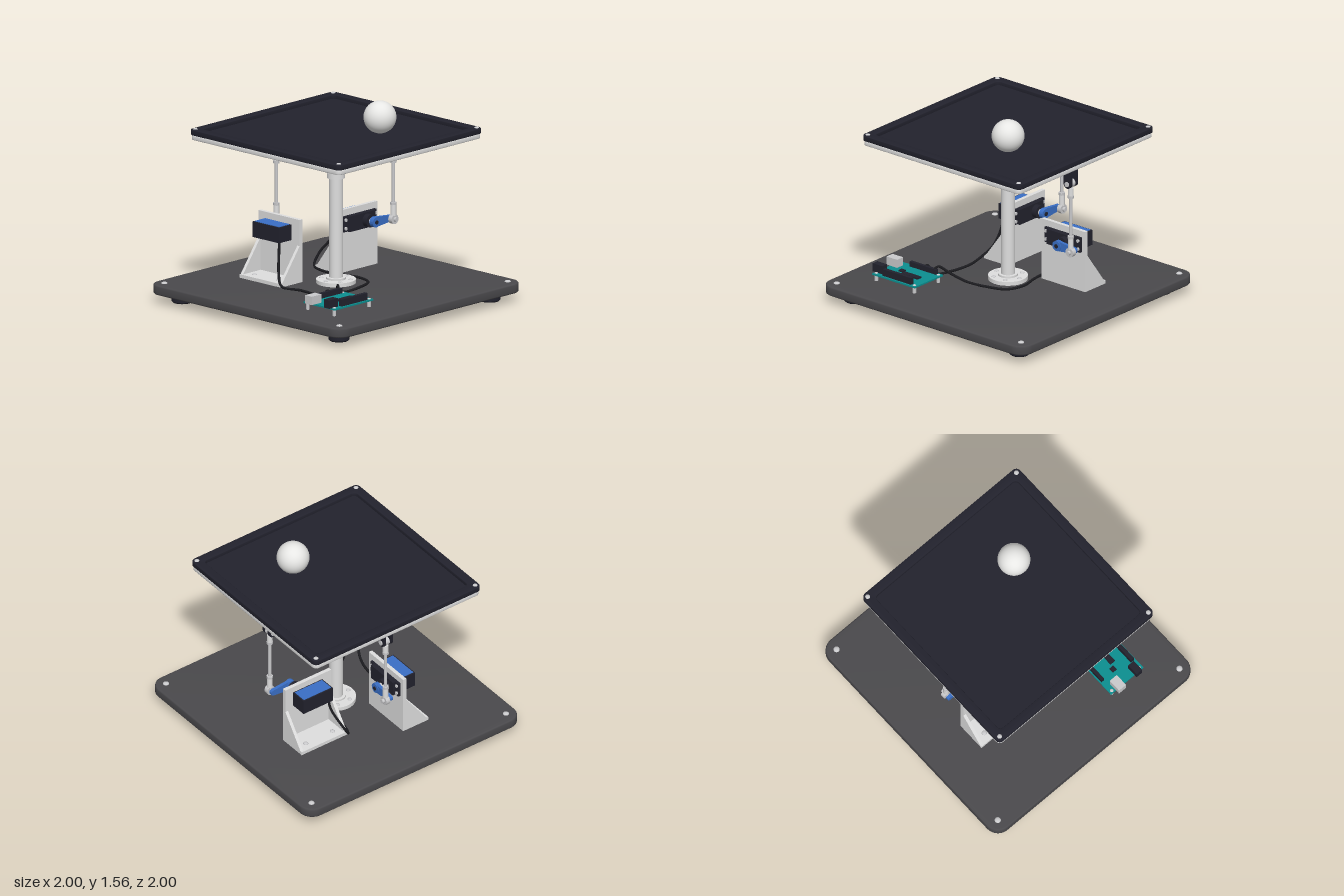
import * as THREE from 'three';
import { toCreasedNormals } from 'three/addons/utils/BufferGeometryUtils.js';

const mat = (name, color) => Object.assign(new THREE.MeshStandardMaterial({ color }), { name });

export function createModel() {
  const M = {
    base: mat('charcoal base', 0x4a494c),
    dark: mat('dark plastic', 0x22222d),
    white: mat('white plastic', 0xdedede),
    metal: mat('light metal', 0xcacacc),
    blue: mat('blue', 0x3a6fc6),
    teal: mat('teal board', 0x0c8f90),
    cable: mat('black cable', 0x1c1c20),
    ball: mat('ball white', 0xe8e8e6),
  };
  const root = new THREE.Group();
  root.name = 'ballBalancingTable';

  // ---- helpers ----
  const add = (parent, name, geo, material, x = 0, y = 0, z = 0) => {
    const m = new THREE.Mesh(geo, material);
    m.name = name;
    m.position.set(x, y, z);
    parent.add(m);
    return m;
  };
  const group = (parent, name) => {
    const g = new THREE.Group();
    g.name = name;
    parent.add(g);
    return g;
  };
  // box given by its lower and upper limits
  const box = (p, name, m, x0, x1, y0, y1, z0, z1) =>
    add(p, name, new THREE.BoxGeometry(x1 - x0, y1 - y0, z1 - z0), m, (x0 + x1) / 2, (y0 + y1) / 2, (z0 + z1) / 2);
  const cyl = (p, name, m, r, len, x, y, z, axis = 'y', seg = 28) => {
    const g = new THREE.CylinderGeometry(r, r, len, seg);
    if (axis === 'z') g.rotateX(Math.PI / 2);
    if (axis === 'x') g.rotateZ(Math.PI / 2);
    return add(p, name, g, m, x, y, z);
  };
  const roundRect = (C, h, r) => {
    const s = new C();
    s.moveTo(-h + r, -h);
    s.absarc(h - r, -h + r, r, -Math.PI / 2, 0);
    s.absarc(h - r, h - r, r, 0, Math.PI / 2);
    s.absarc(-h + r, h - r, r, Math.PI / 2, Math.PI);
    s.absarc(-h + r, -h + r, r, Math.PI, Math.PI * 1.5);
    s.closePath();
    return s;
  };
  const extrude = (shape, depth, bevel = 0) => toCreasedNormals(new THREE.ExtrudeGeometry(shape, {
    depth: depth - 2 * bevel, curveSegments: 10, bevelEnabled: bevel > 0,
    bevelSize: bevel, bevelThickness: bevel, bevelOffset: -bevel, bevelSegments: 3,
  }).translate(0, 0, bevel), 0.6);
  const slab = (p, name, m, shape, y0, y1, bevel) =>
    add(p, name, extrude(shape, y1 - y0, bevel).rotateX(-Math.PI / 2), m, 0, y0, 0);
  // bar with round ends, from radius r0 at the origin to radius r1 at distance len along +x
  const capsule = (len, r0, r1) => {
    const s = new THREE.Shape();
    s.absarc(0, 0, r0, Math.PI / 2, Math.PI * 1.5);
    s.absarc(len, 0, r1, -Math.PI / 2, Math.PI / 2);
    s.closePath();
    return s;
  };
  const screw = (p, r, x, y, z) =>
    add(p, 'screwHead', new THREE.SphereGeometry(r, 16, 6, 0, Math.PI * 2, 0, Math.PI / 2).scale(1, 0.5, 1), M.metal, x, y, z);
  const corners = (d, f) => [-1, 1].forEach(a => [-1, 1].forEach(b => f(a * d, b * d)));

  // ---- base ----
  const base = group(root, 'base');
  slab(base, 'basePlate', M.base, roundRect(THREE.Shape, 1, 0.11), 0.07, 0.145, 0.012);
  const footProfile = [[0, 0], [0.07, 0], [0.08, 0.01], [0.08, 0.07], [0, 0.07]].map(p => new THREE.Vector2(...p));
  corners(0.815, (x, z) => add(base, 'foot', toCreasedNormals(new THREE.LatheGeometry(footProfile, 28), 0.5), M.dark, x, 0, z));
  corners(0.91, (x, z) => screw(base, 0.024, x, 0.145, z));

  // ---- centre post and universal joint ----
  const post = group(root, 'post');
  cyl(post, 'flange', M.white, 0.15, 0.03, 0, 0.16, 0, 'y', 40);
  cyl(post, 'flangeBoss', M.white, 0.075, 0.02, 0, 0.18, 0);
  for (let i = 0; i < 6; i++) screw(post, 0.017, 0.113 * Math.cos(i * Math.PI / 3), 0.175, 0.113 * Math.sin(i * Math.PI / 3));
  cyl(post, 'tube', M.white, 0.052, 0.82, 0, 0.56, 0, 'y', 32);
  cyl(post, 'collar', M.white, 0.068, 0.075, 0, 0.995, 0, 'y', 32);
  cyl(post, 'collarScrew', M.metal, 0.012, 0.02, 0.072, 0.995, 0, 'x', 12);
  const joint = group(root, 'universalJoint');
  box(joint, 'lowerYokePlate', M.white, -0.098, 0.098, 1.033, 1.068, -0.05, 0.05);
  const tine = extrude(capsule(0.09, 0.045, 0.045), 0.025).rotateZ(Math.PI / 2).translate(0, 0, -0.0125);
  for (const s of [-1, 1]) {
    box(joint, 'lowerYokeFoot', M.white, s * 0.08 - 0.0125, s * 0.08 + 0.0125, 1.06, 1.12, -0.045, 0.045);
    add(joint, 'lowerYokeTine', tine.clone().rotateY(Math.PI / 2), M.white, s * 0.08, 1.052 + 0.0, 0);
    box(joint, 'upperYokeTop', M.white, -0.045, 0.045, 1.15, 1.235, s * 0.07 - 0.0125, s * 0.07 + 0.0125);
    add(joint, 'upperYokeTine', tine, M.white, 0, 1.142, s * 0.07);
    cyl(joint, 'crossPinX', M.metal, 0.024, 0.02, s * 0.098, 1.142, 0, 'x', 16);
    cyl(joint, 'crossPinZ', M.dark, 0.026, 0.016, 0, 1.142, s * 0.088, 'z', 16);
    cyl(joint, 'crossPinCap', M.metal, 0.015, 0.02, 0, 1.142, s * 0.09, 'z', 12);
  }
  box(joint, 'crossBlock', M.metal, -0.036, 0.036, 1.106, 1.178, -0.036, 0.036);
  cyl(joint, 'crossAxleX', M.metal, 0.016, 0.18, 0, 1.142, 0, 'x', 14);
  cyl(joint, 'crossAxleZ', M.metal, 0.016, 0.16, 0, 1.142, 0, 'z', 14);
  box(joint, 'upperYokePlate', M.white, -0.06, 0.06, 1.222, 1.245, -0.083, 0.083);
  cyl(joint, 'topFlange', M.white, 0.135, 0.02, 0, 1.25, 0, 'y', 40);

  // ---- tilting platform ----
  const platform = group(root, 'platform');
  slab(platform, 'supportPlate', M.white, roundRect(THREE.Shape, 0.775, 0.04), 1.258, 1.297, 0.006);
  slab(platform, 'touchPanel', M.dark, roundRect(THREE.Shape, 0.74, 0.03), 1.29, 1.309, 0);
  const rim = roundRect(THREE.Shape, 0.78, 0.04);
  rim.holes.push(roundRect(THREE.Path, 0.708, 0.035));
  slab(platform, 'rim', M.dark, rim, 1.295, 1.338, 0.005);
  corners(0.745, (x, z) => screw(platform, 0.019, x, 1.337, z));
  add(root, 'ball', new THREE.SphereGeometry(0.124, 40, 28), M.ball, 0.215, 1.432, 0.25);

  // ---- two identical drives, a quarter turn apart ----
  const gusset = new THREE.Shape([[0, 0], [0.2, 0], [0, 0.27]].map(p => new THREE.Vector2(...p)));
  const makeDrive = (name) => {
    const d = group(root, name);
    // mounting bracket
    box(d, 'bracketPlate', M.white, 0.19, 0.62, 0.145, 0.63, -0.195, -0.165);
    box(d, 'bracketFoot', M.white, 0.19, 0.62, 0.145, 0.172, -0.4, -0.165);
    for (const x of [0.19, 0.595])
      add(d, 'bracketGusset', extrude(gusset, 0.025).rotateY(Math.PI / 2), M.white, x, 0.165, -0.19);
    for (const x of [0.28, 0.53]) screw(d, 0.02, x, 0.172, -0.33);
    // servo
    box(d, 'servoBody', M.dark, 0.275, 0.55, 0.46, 0.58, -0.33, -0.12);
    box(d, 'servoEars', M.dark, 0.235, 0.587, 0.46, 0.58, -0.168, -0.145);
    box(d, 'servoLabel', M.blue, 0.285, 0.54, 0.579, 0.584, -0.32, -0.205);
    for (const x of [0.254, 0.569]) for (const y of [0.487, 0.553]) cyl(d, 'earScrew', M.metal, 0.013, 0.012, x, y, -0.141, 'z', 14);
    cyl(d, 'servoGearCap', M.dark, 0.05, 0.045, 0.46, 0.52, -0.1, 'z');
    cyl(d, 'servoShaft', M.metal, 0.024, 0.035, 0.46, 0.52, -0.064, 'z', 18);
    // horn
    add(d, 'horn', extrude(capsule(0.16, 0.04, 0.024), 0.026), M.blue, 0.46, 0.52, -0.052);
    cyl(d, 'hornHub', M.blue, 0.04, 0.036, 0.46, 0.52, -0.038, 'z');
    cyl(d, 'hornScrew', M.dark, 0.016, 0.008, 0.46, 0.52, -0.018, 'z', 14);
    // push rod
    cyl(d, 'lowerEye', M.metal, 0.037, 0.036, 0.62, 0.52, 0, 'z', 24);
    cyl(d, 'lowerPin', M.metal, 0.017, 0.085, 0.62, 0.52, -0.005, 'z', 14);
    cyl(d, 'lowerSleeve', M.white, 0.022, 0.09, 0.62, 0.592, 0, 'y', 16);
    cyl(d, 'rod', M.metal, 0.0125, 0.5, 0.62, 0.8, 0, 'y', 14);
    cyl(d, 'upperSleeve', M.white, 0.022, 0.07, 0.62, 1.005, 0, 'y', 16);
    for (const y of [0.642, 0.968]) cyl(d, 'lockNut', M.metal, 0.026, 0.02, 0.62, y, 0, 'y', 6);
    cyl(d, 'upperEye', M.metal, 0.032, 0.034, 0.62, 1.08, 0, 'z', 20);
    cyl(d, 'upperPin', M.metal, 0.02, 0.1, 0.62, 1.08, 0, 'z', 16);
    // clevis under the platform
    box(d, 'clevisBase', M.dark, 0.56, 0.68, 1.218, 1.26, -0.06, 0.06);
    for (const z of [-0.042, 0.02])
      add(d, 'clevisTine', extrude(capsule(0.12, 0.035, 0.035), 0.022).rotateZ(Math.PI / 2), M.dark, 0.62, 1.08, z);
    box(d, 'clevisBridge', M.dark, 0.585, 0.655, 1.16, 1.22, -0.042, 0.042);
    return d;
  };
  makeDrive('rightDrive').name = 'sideDrive';
  makeDrive('backDrive').rotation.y = Math.PI / 2;

  // ---- controller board ----
  const board = group(root, 'controllerBoard');
  box(board, 'circuitBoard', M.teal, -0.74, -0.32, 0.193, 0.205, 0.375, 0.7);
  for (const x of [-0.72, -0.345]) for (const z of [0.4, 0.675]) {
    cyl(board, 'standoff', M.metal, 0.014, 0.05, x, 0.169, z, 'y', 14);
    screw(board, 0.014, x, 0.205, z);
  }
  box(board, 'powerJack', M.dark, -0.765, -0.67, 0.205, 0.27, 0.61, 0.665);
  box(board, 'usbPort', M.metal, -0.775, -0.67, 0.205, 0.27, 0.425, 0.495);
  box(board, 'frontHeader', M.dark, -0.65, -0.37, 0.205, 0.258, 0.655, 0.685);
  box(board, 'backHeader', M.dark, -0.62, -0.36, 0.205, 0.245, 0.385, 0.412);
  box(board, 'mainChip', M.dark, -0.56, -0.4, 0.205, 0.217, 0.53, 0.575);
  box(board, 'smallChip', M.dark, -0.62, -0.58, 0.205, 0.215, 0.5, 0.54);

  // ---- servo cables ----
  const cable = (name, pts) => add(root, name, new THREE.TubeGeometry(
    new THREE.CatmullRomCurve3(pts.map(p => new THREE.Vector3(...p))), 72, 0.01, 8), M.cable);
  cable('sideCable', [[0.3, 0.48, -0.3], [0.29, 0.38, -0.325], [0.25, 0.26, -0.41], [0.2, 0.17, -0.42], [0.155, 0.155, -0.3],
    [0.17, 0.155, -0.1], [0.2, 0.155, 0.05], [0.15, 0.155, 0.19], [0, 0.155, 0.25], [-0.18, 0.155, 0.27],
    [-0.3, 0.2, 0.31], [-0.37, 0.26, 0.375], [-0.385, 0.235, 0.4]]);
  cable('backCable', [[-0.3, 0.48, -0.3], [-0.315, 0.38, -0.29], [-0.36, 0.24, -0.25], [-0.41, 0.16, -0.17],
    [-0.38, 0.155, 0], [-0.4, 0.155, 0.18], [-0.45, 0.16, 0.31], [-0.48, 0.24, 0.37], [-0.48, 0.235, 0.4]]);

  return root;
}
